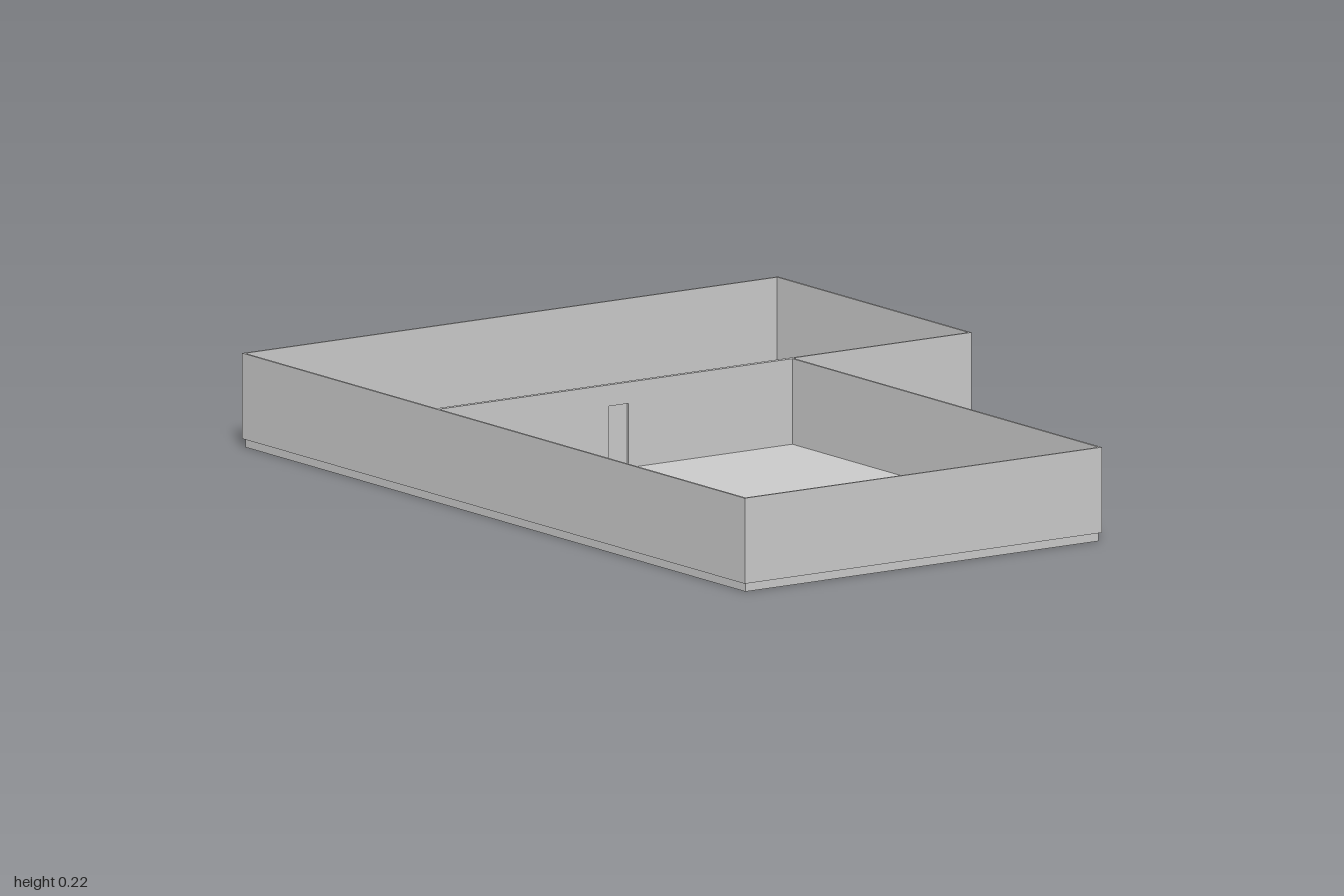
import * as THREE from 'three';

const FLOOR = 0.02, TOP = 0.22, T = 0.006;

export function createModel() {
  const group = new THREE.Group();
  const material = new THREE.MeshStandardMaterial({ color: 0xcccccc, flatShading: true });

  const add = (name, geometry) => {
    const mesh = new THREE.Mesh(geometry, material);
    mesh.name = name;
    group.add(mesh);
    return mesh;
  };
  const box = (name, x0, x1, y0, y1, z0, z1) =>
    add(name, new THREE.BoxGeometry(x1 - x0, y1 - y0, z1 - z0))
      .position.set((x0 + x1) / 2, (y0 + y1) / 2, (z0 + z1) / 2);

  // Outline of the plan
  const back = -0.75, step = -0.25, front = 0.75, split = -0.229;

  // L-shaped floor slab, set in by the wall thickness
  const plan = new THREE.Shape([
    [-1 + T, -front + T], [1 - T, -front + T], [1 - T, -step - T],
    [split - T, -step - T], [split - T, -back - T], [-1 + T, -back - T],
  ].map(([x, y]) => new THREE.Vector2(x, y)));
  add('floorSlab', new THREE.ExtrudeGeometry(plan, { depth: FLOOR, bevelEnabled: false })
    .rotateX(-Math.PI / 2));

  // Long narrow room
  box('narrowRoomOuterWall', -1, -1 + T, FLOOR, TOP, back, front);
  box('narrowRoomInnerWall', split - T, split, FLOOR, TOP, back, front);
  box('narrowRoomBackWall', -1 + T, split - T, FLOOR, TOP, back, back + T);
  box('narrowRoomFrontWall', -1 + T, split - T, FLOOR, TOP, front - T, front);

  // Wide room
  box('wideRoomOuterWall', 1 - T, 1, FLOOR, TOP, step, front);
  box('wideRoomBackWall', split, 1 - T, FLOOR, TOP, step, step + T);
  box('wideRoomFrontWall', split, 1 - T, FLOOR, TOP, front - T, front);

  // Wide room's partition, with a doorway backed by the narrow room's wall
  const door0 = 0.215, door1 = 0.27, doorTop = 0.17;
  box('partitionBehindDoor', split, split + T, FLOOR, TOP, step + T, door0);
  box('partitionBeforeDoor', split, split + T, FLOOR, TOP, door1, front - T);
  box('doorLintel', split, split + T, doorTop, TOP, door0, door1);

  return group;
}
